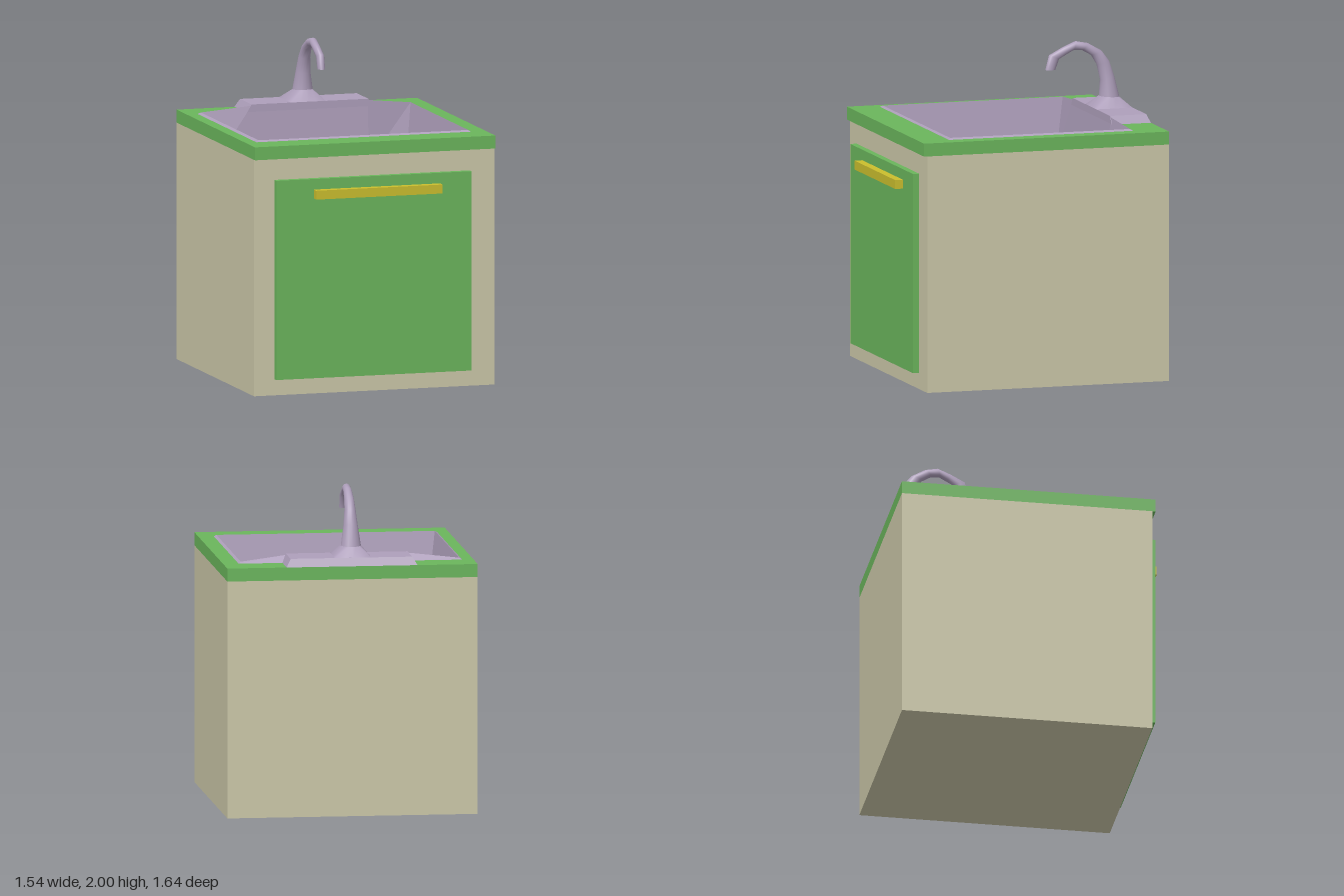
import * as THREE from 'three';

const mat = (color, side = THREE.FrontSide) => new THREE.MeshStandardMaterial({ color, side });

function add(parent, name, geometry, material) {
  const mesh = new THREE.Mesh(geometry, material);
  mesh.name = name;
  parent.add(mesh);
  return mesh;
}

// Box from its extents on each axis
function box(x0, x1, y0, y1, z0, z1) {
  return new THREE.BoxGeometry(x1 - x0, y1 - y0, z1 - z0)
    .translate((x0 + x1) / 2, (y0 + y1) / 2, (z0 + z1) / 2);
}

const rect = (x0, x1, z0, z1) => [[x0, z0], [x1, z0], [x1, z1], [x0, z1]].map(p => new THREE.Vector2(...p));

// Horizontal plate with a hole, its top at the given height
function plate(outline, hole, top, thickness) {
  const shape = new THREE.Shape(outline);
  shape.holes.push(new THREE.Path(hole));
  return new THREE.ExtrudeGeometry(shape, { depth: thickness, bevelEnabled: false })
    .rotateX(Math.PI / 2).translate(0, top, 0);
}

// Skin between successive closed rings of points
function skin(rings, smooth, capEnd) {
  const n = rings[0].length, pos = rings.flat(2), index = [];
  for (let r = 0; r < rings.length - 1; r++) {
    for (let i = 0; i < n; i++) {
      const a = r * n + i, b = r * n + (i + 1) % n;
      index.push(a, a + n, b, b, a + n, b + n);
    }
  }
  if (capEnd) {
    const start = pos.length / 3;
    pos.push(...rings[rings.length - 1].flat());
    for (let i = 1; i < n - 1; i++) index.push(start, start + i + 1, start + i);
  }
  let g = new THREE.BufferGeometry();
  g.setAttribute('position', new THREE.Float32BufferAttribute(pos, 3));
  g.setIndex(index);
  if (!smooth) g = g.toNonIndexed();
  g.computeVertexNormals();
  return g;
}

export function createModel() {
  const model = new THREE.Group();
  model.name = 'sinkCabinet';
  const green = mat(0x6ab55c);
  const metal = mat(0xae9fbb, THREE.DoubleSide);

  // Cabinet, open at the top so that the basin can hang inside
  const body = box(-0.77, 0.77, 0, 1.46, -0.82, 0.73);
  const idx = Array.from(body.index.array);
  idx.splice(12, 6);
  body.setIndex(idx);
  body.clearGroups();
  add(model, 'cabinet', body, mat(0xcbc7a8, THREE.DoubleSide));

  // Countertop, door and handle
  add(model, 'countertop', plate(rect(-0.77, 0.77, -0.82, 0.75), rect(-0.69, 0.667, -0.612, 0.554), 1.54, 0.08), green);
  add(model, 'door', box(-0.64, 0.61, 0.10, 1.33, 0.73, 0.77), green);
  add(model, 'doorHandle', box(-0.40, 0.41, 1.21, 1.265, 0.77, 0.82), mat(0xcabe2d));

  // Basin: outer lip, ridge rising to the tap deck, and floor edge
  const sink = new THREE.Group();
  sink.name = 'sink';
  model.add(sink);
  const ring = (x0, x1, z0, z1, y, xa, xb, zDeck, yDeck) => [
    [x0, y, z0], [xa, yDeck, zDeck], [xb, yDeck, zDeck], [x1, y, z0], [x1, y, z1], [x0, y, z1]];
  const floorY = 1.2;
  add(sink, 'basin', skin([
    ring(-0.70, 0.675, -0.62, 0.56, 1.54, -0.40, 0.405, -0.62, 1.54),
    ring(-0.683, 0.66, -0.605, 0.548, 1.55, -0.37, 0.375, -0.57, 1.582),
    ring(-0.64, 0.615, -0.55, 0.507, floorY, -0.37, 0.375, -0.55, floorY),
  ], false), metal);

  // Floor with an octagonal drain
  const drainX = -0.008, drainZ = -0.088, drainR = 0.066, drainDepth = 0.05;
  const octagon = [];
  for (let i = 0; i < 8; i++) {
    const t = i * Math.PI / 4;
    octagon.push(new THREE.Vector2(drainX + drainR * Math.cos(t), drainZ + drainR * Math.sin(t)));
  }
  add(sink, 'basinFloor', plate(rect(-0.64, 0.615, -0.55, 0.507), octagon, floorY, 0.01), metal);
  const drainRing = y => octagon.map(p => [p.x, y, p.y]);
  add(sink, 'drain', skin([drainRing(floorY), drainRing(floorY - drainDepth)], false, true), metal);

  // Tap deck with bevelled sides and back
  const deckRing = (x0, x1, z0, y) => [[x0, y, z0], [x1, y, z0], [x1, y, -0.568], [x0, y, -0.568]].reverse();
  add(sink, 'tapDeck', skin([
    deckRing(-0.40, 0.405, -0.82, 1.54),
    deckRing(-0.37, 0.378, -0.80, 1.59),
  ].map(r => r.reverse()), false, true), metal);

  // Tap: [outer z, outer y, inner z, inner y, half width], from base to spout
  const sections = [
    [-0.80, 1.588, -0.568, 1.588, 0.115],
    [-0.748, 1.648, -0.622, 1.655, 0.062],
    [-0.715, 1.78, -0.628, 1.755, 0.045],
    [-0.685, 1.87, -0.605, 1.85, 0.035],
    [-0.635, 1.935, -0.568, 1.91, 0.03],
    [-0.547, 1.985, -0.51, 1.943, 0.026],
    [-0.47, 2.0, -0.455, 1.945, 0.025],
    [-0.39, 1.967, -0.41, 1.92, 0.024],
    [-0.30, 1.92, -0.365, 1.895, 0.024],
    [-0.277, 1.83, -0.34, 1.83, 0.023],
  ];
  const sides = 16;
  const tapRings = sections.map(([oz, oy, iz, iy, w], s) => {
    const points = [];
    for (let i = 0; i < sides; i++) {
      const t = i / sides * Math.PI * 2;
      let c = Math.cos(t), d = Math.sin(t);
      if (s === 0) { // square foot
        const m = Math.max(Math.abs(c), Math.abs(d));
        c /= m;
        d /= m;
      }
      points.push([-0.007 + d * w, (oy + iy) / 2 + c * (oy - iy) / 2, (oz + iz) / 2 + c * (oz - iz) / 2]);
    }
    return points;
  });
  // The foot is a separate skin so its lower edge of the neck stays crisp
  const tap = new THREE.Group();
  tap.name = 'tap';
  sink.add(tap);
  add(tap, 'tapFoot', skin(tapRings.slice(0, 2), true), metal);
  add(tap, 'tapNeck', skin(tapRings.slice(1), true, true), metal);

  return model;
}
